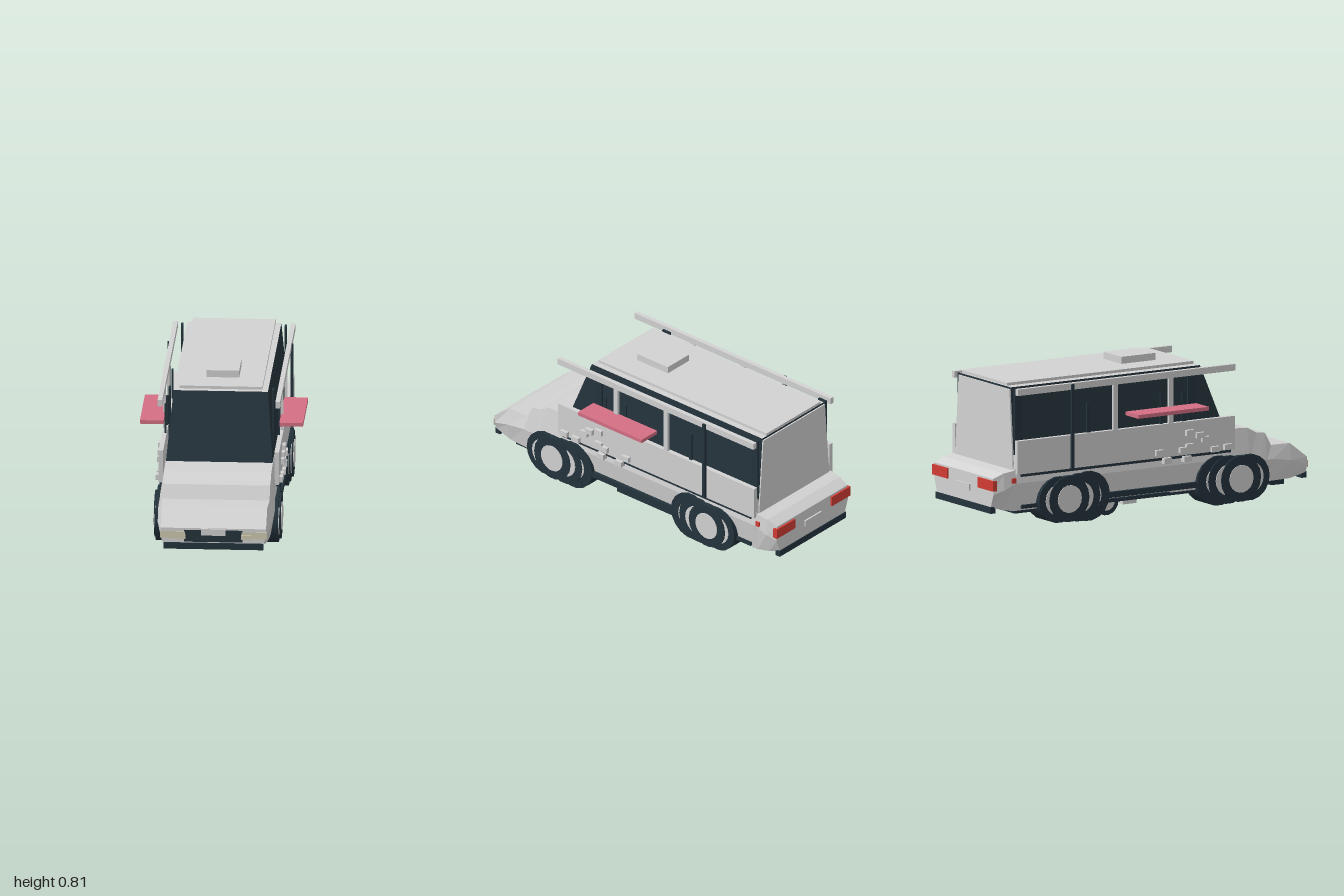
import * as THREE from 'three';

const mat = (name, color, side = THREE.FrontSide) => {
  const m = new THREE.MeshStandardMaterial({ color, side });
  m.name = name;
  return m;
};

// Skins equal-length rings (front to back, counter-clockwise from the front).
// edgeMat(j) picks the material index of the strip from point j to j + 1.
function loft(rings, edgeMat = () => 0) {
  const n = rings[0].length, buckets = [[], []];
  const tri = (k, ...pts) => pts.forEach(p => buckets[k].push(...p));
  for (let i = 0; i < rings.length - 1; i++) {
    for (let j = 0; j < n; j++) {
      const k = (j + 1) % n, A = rings[i], B = rings[i + 1];
      tri(edgeMat(j), A[j], B[j], B[k]);
      tri(edgeMat(j), A[j], B[k], A[k]);
    }
  }
  const F = rings[0], L = rings[rings.length - 1];
  for (let j = 1; j < n - 1; j++) {
    tri(0, F[0], F[j], F[j + 1]);
    tri(0, L[0], L[j + 1], L[j]);
  }
  const g = new THREE.BufferGeometry();
  g.setAttribute('position', new THREE.Float32BufferAttribute(buckets.flat(), 3));
  g.addGroup(0, buckets[0].length / 3, 0);
  g.addGroup(buckets[0].length / 3, buckets[1].length / 3, 1);
  g.computeVertexNormals();
  return g;
}

export function createModel() {
  const model = new THREE.Group();
  const light = mat('lightGrey', 0xd2d2d2);
  const dark = mat('darkBlue', 0x24333c);
  const pink = mat('pink', 0xd46f84);
  const red = mat('red', 0xd23c34);
  const beige = mat('beige', 0xcfcab2);

  const add = (name, geometry, material) => {
    const m = new THREE.Mesh(geometry, material);
    m.name = name;
    model.add(m);
    return m;
  };
  // Box given by its min and max on each axis
  const box = (name, material, x0, x1, y0, y1, z0, z1) => {
    const m = add(name, new THREE.BoxGeometry(x1 - x0, y1 - y0, z1 - z0), material);
    m.position.set((x0 + x1) / 2, (y0 + y1) / 2, (z0 + z1) / 2);
    return m;
  };
  const pair = (name, material, x0, x1, ...rest) => {
    box(name + 'Left', material, x0, x1, ...rest);
    box(name + 'Right', material, -x1, -x0, ...rest);
  };

  // Lower body: z, bottom y, bottom half width, mid y, mid half width, top y, top half width
  const stations = [
    [0.99, 0.12, 0.265, 0.16, 0.28, 0.205, 0.28],
    [0.88, 0.10, 0.28, 0.20, 0.302, 0.29, 0.28],
    [0.76, 0.10, 0.29, 0.22, 0.308, 0.292, 0.285],
    [0.72, 0.10, 0.29, 0.22, 0.31, 0.362, 0.285],
    [0.67, 0.10, 0.29, 0.23, 0.31, 0.367, 0.285],
    [0.61, 0.10, 0.29, 0.24, 0.31, 0.40, 0.285],
    [0.46, 0.10, 0.29, 0.25, 0.31, 0.408, 0.285],
    [-0.85, 0.10, 0.29, 0.25, 0.31, 0.408, 0.285],
    [-0.86, 0.10, 0.29, 0.25, 0.308, 0.32, 0.30],
    [-0.93, 0.11, 0.28, 0.22, 0.305, 0.31, 0.295],
    [-0.99, 0.13, 0.265, 0.20, 0.29, 0.285, 0.285],
  ];
  const bodyRings = stations.map(([z, by, bw, my, mw, ty, tw]) => [
    [bw, by, z], [mw, my, z], [tw, ty, z], [-tw, ty, z], [-mw, my, z], [-bw, by, z],
  ]);
  add('body', loft(bodyRings, j => (j === 5 ? 1 : 0)), [light, dark]);

  // Cabin: glass sides and windscreen, grey roof
  const cabinRing = (zLow, zTop) => [
    [0.284, 0.40, zLow], [0.25, 0.76, zTop], [-0.25, 0.76, zTop], [-0.284, 0.40, zLow],
  ];
  add('cabin', loft([cabinRing(0.47, 0.335), cabinRing(-0.855, -0.855)],
    j => (j === 1 ? 1 : 0)), [dark, light]);
  add('rearPanel', loft([-0.856, -0.864].map(z => [
    [0.285, 0.31, z], [0.25, 0.75, z], [-0.25, 0.75, z], [-0.285, 0.31, z],
  ])), [light, light]);
  box('roofPlate', light, -0.22, 0.22, 0.765, 0.78, -0.86, 0.315);
  box('roofHatch', light, -0.087, 0.087, 0.78, 0.818, -0.055, 0.16);

  // Side panels, roof rails, pillars and fins
  pair('sidePanel', light, 0.295, 0.32, 0.30, 0.48, -0.858, 0.51);
  pair('panelSeam', dark, 0.295, 0.315, 0.285, 0.30, -0.83, 0.49);
  pair('roofRail', light, 0.30, 0.325, 0.725, 0.76, -0.858, 0.51);
  for (const z of [0.11, -0.24]) pair('pillar', light, 0.305, 0.319, 0.47, 0.73, z - 0.014, z + 0.014);
  pair('sideBar', dark, 0.32, 0.334, 0.30, 0.755, -0.525, -0.508);
  for (const z of [0.28, -0.81]) pair('windowPost', dark, 0.269, 0.281, 0.45, 0.755, z - 0.04, z + 0.01);
  for (const z of [0.2, 0.06, -0.4]) pair('windowFrame', dark, 0.296, 0.306, 0.45, 0.64, z - 0.01, z + 0.01);
  pair('fin', pink, 0.307, 0.433, 0.55, 0.57, -0.17, 0.275);

  // Small blocks scattered over the doors
  const blocks = [[0.46, 0.32], [0.38, 0.315], [0.32, 0.375], [0.285, 0.40], [0.22, 0.42], [0.22, 0.345],
    [0.18, 0.33], [0.205, 0.28], [0.08, 0.283], [0.03, 0.33]];
  blocks.forEach(([z, y]) => pair('sideBlock', light, 0.305, 0.338, y - 0.015, y + 0.015, z - 0.024, z + 0.024));

  // Wheels: each is a fan of staggered tyres with pale hubs
  const wheel = (name, x0, x1, y, z, r, hubR) => {
    for (const [part, rad, m, extra] of [['Tyre', r, dark, 0], ['Hub', hubR, light, 0.008]]) {
      const w = add(name + part, new THREE.CylinderGeometry(rad, rad, x1 - x0 + extra, 18), m);
      w.rotation.z = Math.PI / 2;
      w.position.set((x0 + x1) / 2, y, z);
    }
  };
  const discs = [[0.54, 0.25, 0.336, 0.125, 0.075], [0.60, 0.20, 0.326, 0.125, 0.085],
    [0.47, 0.22, 0.326, 0.13, 0.085], [0.41, 0.19, 0.318, 0.135, 0.08]];
  for (const end of [1, -1]) {
    for (const [z, a, b, r, h] of discs) {
      const name = end > 0 ? 'frontWheel' : 'rearWheel';
      wheel(name + 'Left', a, b, 0.14, z * end, r, h);
      wheel(name + 'Right', -b, -a, 0.14, z * end, r, h);
    }
  }
  wheel('innerWheel', -0.23, -0.185, 0.08, -0.24, 0.075, 0.05);

  // Underside, sills, bumpers and exhausts
  box('floor', dark, -0.265, 0.265, 0.08, 0.11, -0.84, 0.84);
  pair('sill', dark, 0.28, 0.315, 0.115, 0.145, -0.32, 0.28);
  pair('sillStep', dark, 0.28, 0.308, 0.09, 0.108, -0.30, 0.11);
  pair('rearSill', dark, 0.27, 0.305, 0.11, 0.13, -0.82, -0.68);
  box('frontBumper', dark, -0.265, 0.265, 0.09, 0.125, 0.965, 0.995);
  box('frontApron', dark, -0.255, 0.255, 0.068, 0.10, 0.78, 0.86);
  box('rearBumper', dark, -0.27, 0.27, 0.095, 0.13, -0.995, -0.965);
  pair('exhaust', light, 0.012, 0.046, 0.012, 0.036, -0.02, 0.065);
  pair('exhaustStem', dark, 0.017, 0.041, 0.036, 0.10, -0.01, 0.02);

  // Front and rear fittings
  box('grille', dark, -0.155, 0.155, 0.13, 0.195, 0.984, 0.993);
  box('frontPlate', light, -0.064, 0.064, 0.167, 0.203, 0.989, 0.998);
  pair('headlight', beige, 0.15, 0.284, 0.15, 0.187, 0.985, 0.994);
  pair('foglight', beige, 0.147, 0.203, 0.146, 0.173, 0.99, 0.999);
  pair('tailLight', red, 0.15, 0.30, 0.22, 0.275, -1.0, -0.975);
  pair('sideMarker', red, 0.30, 0.312, 0.253, 0.28, -0.885, -0.86);
  box('rearPlate', light, -0.065, 0.065, 0.19, 0.225, -0.999, -0.988);

  return model;
}
